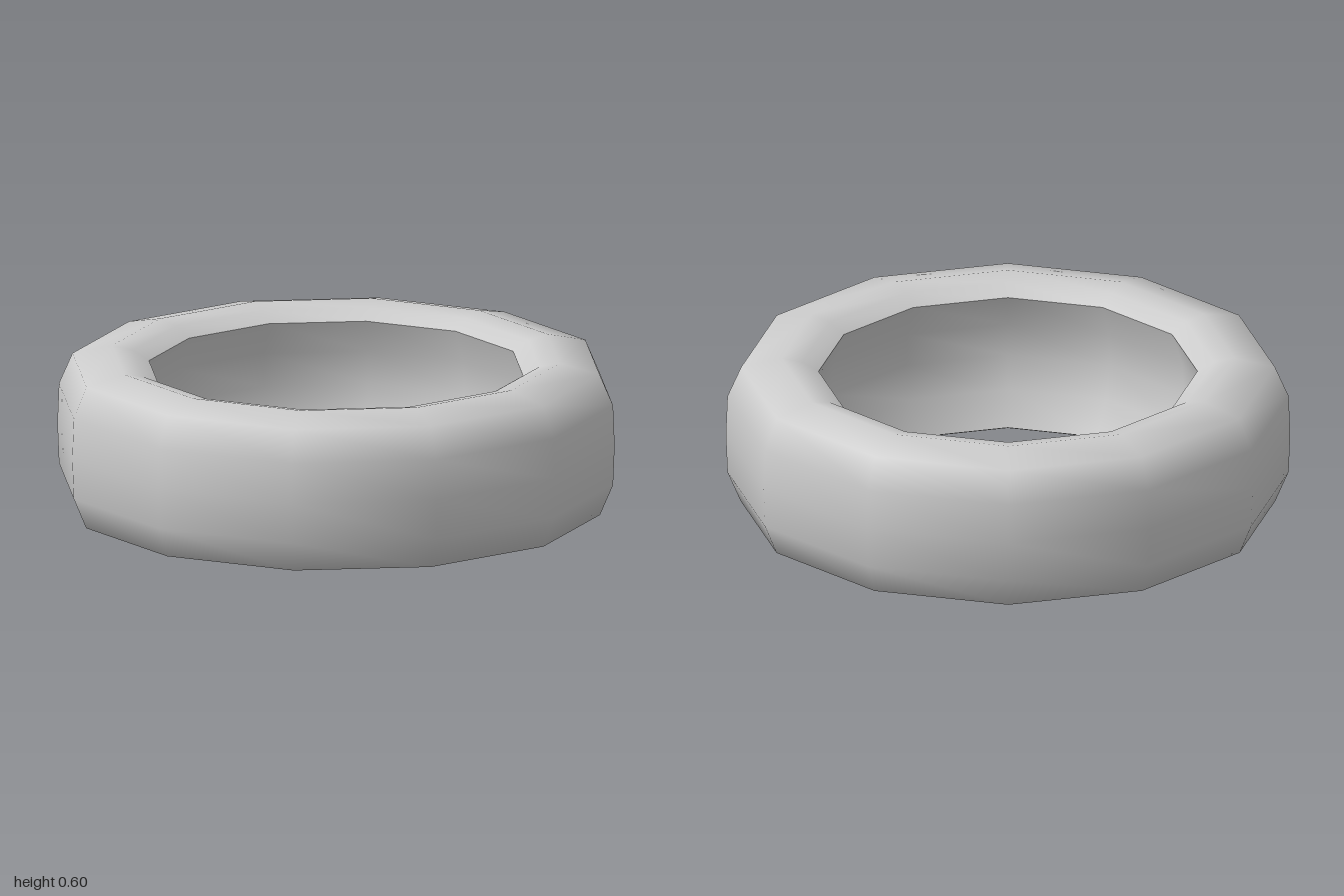
import * as THREE from 'three';

const SIDES = 12;
const TURN = THREE.MathUtils.degToRad(13.6);

// Revolve a [radius, height] profile into a twelve-sided ring
function ring(name, profile, material) {
  const points = profile.map(([r, y]) => new THREE.Vector2(r, y));
  const mesh = new THREE.Mesh(new THREE.LatheGeometry(points, SIDES, TURN), material);
  mesh.geometry.normalizeNormals();
  mesh.name = name;
  return mesh;
}

export function createModel() {
  const group = new THREE.Group();
  group.name = 'tire';
  const material = new THREE.MeshStandardMaterial({ color: 0xcccccc });

  const bottomRim = [0.652, 0.05];
  const topRim = [0.69, 0.548];

  // Tread and both bulging sidewalls, smooth from rim to rim
  group.add(ring('treadAndSidewalls', [
    bottomRim,
    [0.72, 0.02], [0.8, 0], [0.974, 0.036], [1.022, 0.15],
    [1.028, 0.3],
    [1.022, 0.45], [0.972, 0.565], [0.825, 0.6], [0.75, 0.584],
    topRim,
  ], material));

  // Hollowed inner wall, with a sharp edge at each rim
  group.add(ring('innerWall', [
    topRim,
    [0.733, 0.425], [0.741, 0.3], [0.715, 0.175],
    bottomRim,
  ], material));

  return group;
}
